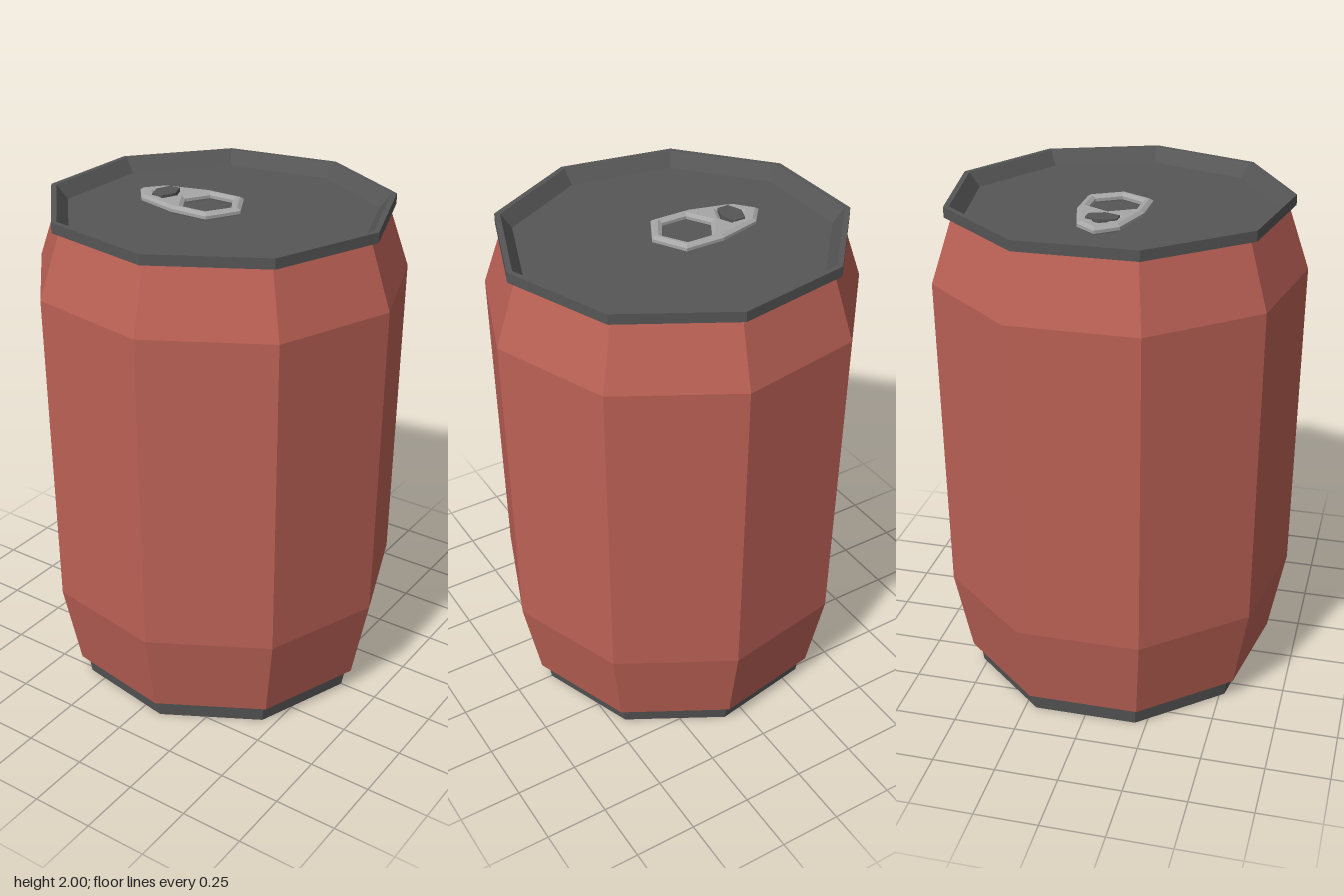
import * as THREE from 'three';

const material = (color) => new THREE.MeshStandardMaterial({ color, flatShading: true });

export function createModel() {
  const group = new THREE.Group();
  const red = material(0xbb6155);
  const dark = material(0x565656);
  const light = material(0xa6a6a6);

  const add = (name, geometry, mat) => {
    const mesh = new THREE.Mesh(geometry, mat);
    mesh.name = name;
    group.add(mesh);
    return mesh;
  };

  // Nine-sided shell from a [radius, height] profile, one corner facing +x
  const shell = (name, profile, mat) => {
    const points = profile.map(([r, y]) => new THREE.Vector2(r, y));
    const geometry = new THREE.LatheGeometry(points, 9, Math.PI / 2);
    geometry.scale(1, 1, 0.977).translate(-0.022, 0, 0);
    return add(name, geometry, mat);
  };

  shell('base', [[0, 0], [0.613, 0], [0.627, 0.085]], dark);
  shell('body', [[0.6, 0.085], [0.655, 0.085], [0.724, 0.43], [0.737, 1.71], [0.65, 1.96]], red);
  shell('lid', [[0.63, 1.96], [0.678, 1.96], [0.678, 2], [0.656, 2], [0.613, 1.945], [0, 1.945]], dark);

  // Pull tab: a plate with two hexagonal holes; only one half of each outline is listed
  const outline = (half, Type) => {
    const mirrored = half.slice(1, -1).reverse().map(([x, z]) => [x, -z]);
    return new Type([...half, ...mirrored].map(([x, z]) => new THREE.Vector2(x, z)));
  };
  const plate = outline([[-0.4, 0], [-0.335, -0.08], [-0.16, -0.127], [0, -0.127], [0.07, 0]], THREE.Shape);
  plate.holes.push(
    outline([[-0.185, 0], [-0.133, -0.09], [-0.027, -0.09], [0.027, 0]], THREE.Path),
    outline([[-0.325, 0], [-0.295, -0.062], [-0.255, -0.062], [-0.228, 0]], THREE.Path)
  );
  const tabGeometry = new THREE.ExtrudeGeometry(plate, {
    depth: 0.012, bevelThickness: 0.01, bevelSize: 0.014, bevelOffset: -0.014, bevelSegments: 1,
  });
  tabGeometry.rotateX(-Math.PI / 2);
  add('pullTab', tabGeometry, light).position.y = 1.955;

  // Rivet holding the tab to the lid
  const rivet = new THREE.CylinderGeometry(1, 1, 0.04, 6);
  rivet.rotateY(Math.PI / 2).scale(0.046, 1, 0.068);
  add('rivet', rivet, dark).position.set(-0.276, 1.963, 0);

  return group;
}
